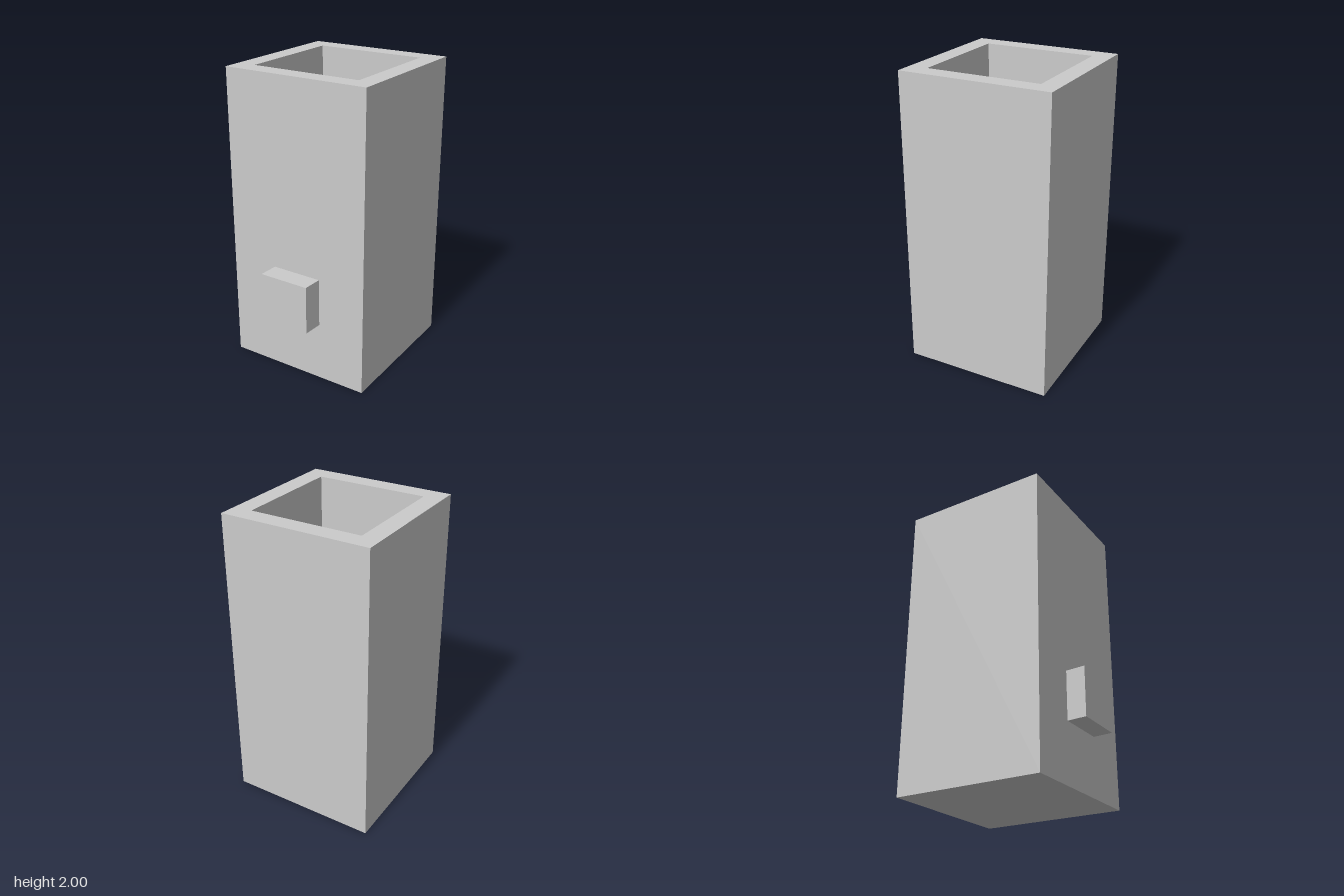
import * as THREE from 'three';

const material = new THREE.MeshStandardMaterial({ color: 0xcccccc, flatShading: true });

export function createModel() {
  const model = new THREE.Group();
  const centreZ = -0.065;
  const frontZ = centreZ + 0.5;

  // Square hollow column, open at the top: a four-sided lathe of its wall profile
  const corner = (halfSide, y) => new THREE.Vector2(halfSide * Math.SQRT2, y);
  const profile = [
    corner(0, 0), corner(0.5, 0), corner(0.5, 2),
    corner(0.375, 2), corner(0.375, 0.125), corner(0, 0.125),
  ];
  const columnGeometry = new THREE.LatheGeometry(profile, 4, Math.PI / 4).toNonIndexed();
  columnGeometry.computeVertexNormals();
  const column = new THREE.Mesh(columnGeometry, material);
  column.name = 'hollowColumn';
  column.position.z = centreZ;
  model.add(column);

  // Slightly skewed block on the front wall, drawn in plan and extruded upwards
  const plan = new THREE.Shape([
    new THREE.Vector2(-0.18, -0.565),
    new THREE.Vector2(0.165, -0.565),
    new THREE.Vector2(0.175, -frontZ),
    new THREE.Vector2(-0.17, -frontZ),
  ]);
  const blockGeometry = new THREE.ExtrudeGeometry(plan, { depth: 0.325, bevelEnabled: false });
  blockGeometry.rotateX(-Math.PI / 2);
  const block = new THREE.Mesh(blockGeometry, material);
  block.name = 'frontBlock';
  block.position.y = 0.4;
  model.add(block);

  return model;
}
